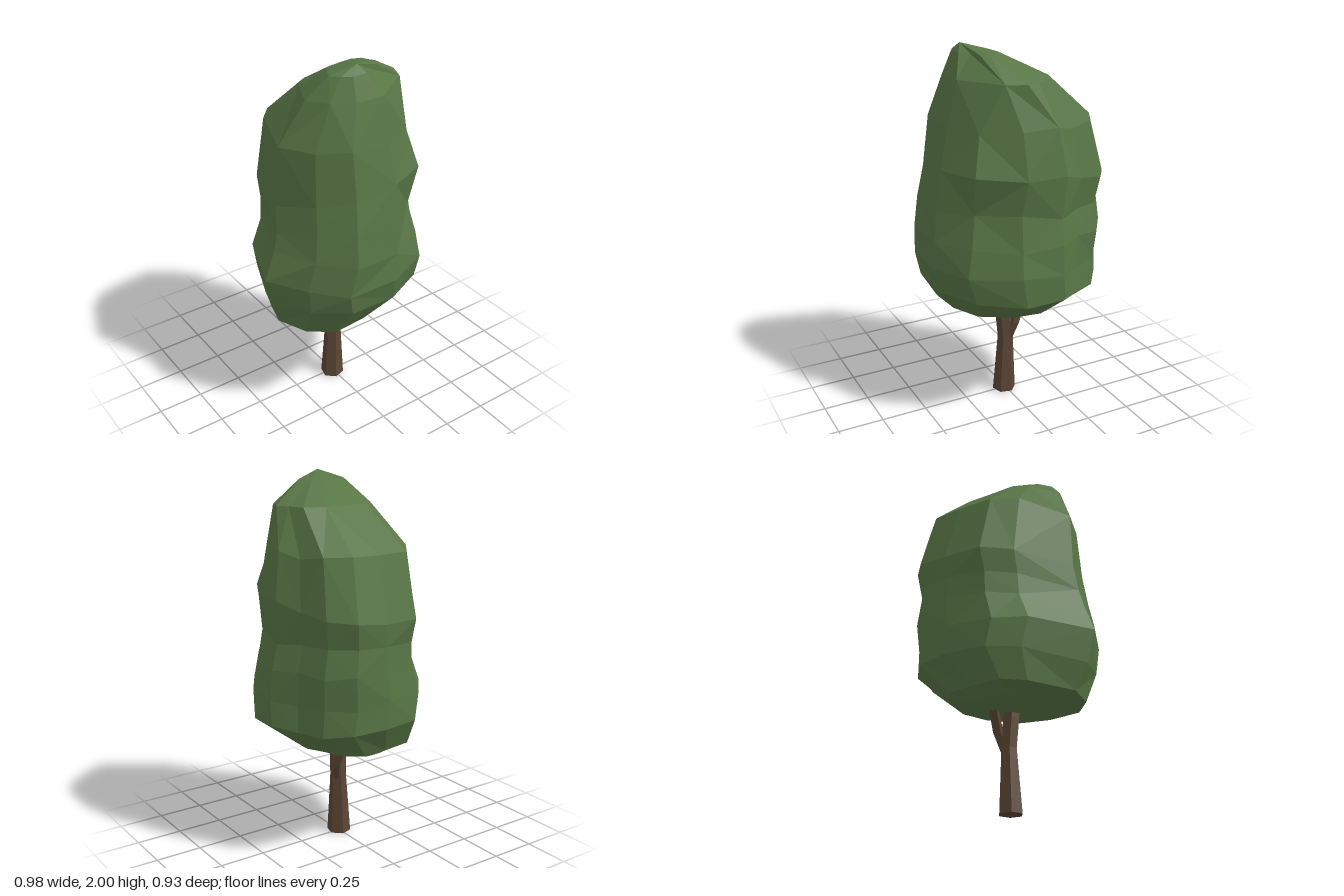
import * as THREE from 'three';

const leafGreen = new THREE.MeshStandardMaterial({ color: 0x587646, flatShading: true });
leafGreen.name = 'leafGreen';
const barkBrown = new THREE.MeshStandardMaterial({ color: 0x5c4635, flatShading: true });
barkBrown.name = 'barkBrown';

// Small seeded generator, -1 to 1
function makeNoise(seed) {
  return () => {
    seed = (seed * 16807) % 2147483647;
    return (seed / 2147483647) * 2 - 1;
  };
}

// Skins rings of equal point count, bottom to top; points run clockwise seen from above
function skin(rings, bottom, top) {
  const n = rings[0].length;
  const pos = [];
  const tri = (...pts) => pts.forEach((p) => pos.push(p.x, p.y, p.z));
  for (let i = 0; i < n; i++) {
    const j = (i + 1) % n;
    tri(bottom, rings[0][i], rings[0][j]);
    for (let r = 0; r < rings.length - 1; r++) {
      const [a, b, c, d] = [rings[r][i], rings[r][j], rings[r + 1][j], rings[r + 1][i]];
      if ((i + r) % 2) { tri(a, d, b); tri(b, d, c); } else { tri(a, d, c); tri(a, c, b); }
    }
    const last = rings[rings.length - 1];
    tri(last[i], top, last[j]);
  }
  const geo = new THREE.BufferGeometry();
  geo.setAttribute('position', new THREE.Float32BufferAttribute(pos, 3));
  geo.computeVertexNormals();
  return geo;
}

// Irregular plan of the crown, seen from above (x, z)
const plan = [
  [-0.24, -0.39], [0, -0.46], [0.21, -0.465], [0.355, -0.37], [0.42, -0.22], [0.5, -0.09],
  [0.47, 0.13], [0.32, 0.36], [0.08, 0.465], [-0.2, 0.46], [-0.37, 0.32], [-0.5, 0.11], [-0.36, -0.25],
];

// Crown levels: y, rise towards +x+z, x min, x max, z min, z max,
// then the swell of each corner: +x+z, -x+z, -x-z, +x-z
const levels = [
  [0.53, 0, -0.24, 0.10, -0.27, 0.18, 1, 1.1, 1.1, 1],
  [0.57, 0, -0.39, 0.26, -0.34, 0.31, 1, 1.1, 1.12, 1.03],
  [0.73, 0, -0.45, 0.49, -0.45, 0.425, 0.99, 1.05, 1.07, 0.95],
  [0.87, 0, -0.50, 0.485, -0.455, 0.465, 1.02, 0.97, 1, 0.96],
  [1.03, 0, -0.43, 0.47, -0.455, 0.455, 0.96, 1.04, 0.98, 1],
  [1.17, 0.02, -0.41, 0.44, -0.45, 0.44, 0.9, 1.03, 1.02, 0.99],
  [1.34, 0.05, -0.395, 0.455, -0.46, 0.41, 1.03, 1.02, 1.1, 1.01],
  [1.62, 0, -0.375, 0.41, -0.375, 0.37, 0.96, 1.02, 1.07, 1.05],
  [1.84, 0, -0.26, 0.335, -0.12, 0.315, 0.8, 1.02, 1.05, 1.18],
  [1.955, 0, -0.16, 0.14, 0.08, 0.27, 0.6, 1, 1.05, 1.1],
];

function crownGeometry() {
  const noise = makeNoise(71);
  const rings = levels.map(([y, rise, x0, x1, z0, z1, ...swell], r) => plan.map(([px, pz]) => {
    const u = px / 0.5, v = pz / 0.465;
    const corner = v > 0 ? (u > 0 ? 0 : 1) : (u > 0 ? 3 : 2);
    const weight = Math.min(1, 4 * u * u * v * v);
    const inner = r > 1 && r < 8;
    const k = 1 + (swell[corner] - 1) * weight + (inner ? noise() * 0.008 : 0);
    return new THREE.Vector3(
      (x0 + x1) / 2 + u * k * (x1 - x0) / 2,
      y + rise * (u + v) + (inner ? noise() * 0.02 : 0),
      (z0 + z1) / 2 + v * k * (z1 - z0) / 2,
    );
  }));
  return skin(rings, new THREE.Vector3(-0.05, 0.525, -0.03), new THREE.Vector3(-0.03, 2, 0.24));
}

// Many-sided limb through stations of [x, y, z, radius]
function limbGeometry(stations, sides) {
  const rings = stations.map(([x, y, z, radius]) => Array.from({ length: sides }, (_, i) => {
    const a = (i / sides) * Math.PI * 2 - 0.3;
    return new THREE.Vector3(x + Math.cos(a) * radius, y, z + Math.sin(a) * radius);
  }));
  const [bottom, top] = [stations[0], stations[stations.length - 1]]
    .map(([x, y, z]) => new THREE.Vector3(x, y, z));
  return skin(rings, bottom, top);
}

export function createModel() {
  const model = new THREE.Group();
  model.name = 'tree';
  const add = (name, geometry, material) => {
    const mesh = new THREE.Mesh(geometry, material);
    mesh.name = name;
    model.add(mesh);
  };

  add('crown', crownGeometry(), leafGreen);
  // Trunk narrows to a fork, then spreads slightly into the crown
  add('trunk', limbGeometry([
    [-0.005, 0, 0.008, 0.065], [0.003, 0.34, 0.003, 0.044],
    [-0.003, 0.5, 0.012, 0.047], [-0.01, 0.62, 0.015, 0.042],
  ], 6), barkBrown);
  // Side branch leaning back and to the left
  add('branch', limbGeometry([
    [0.02, 0.31, -0.005, 0.02], [0.041, 0.43, -0.04, 0.028],
    [0.03, 0.53, -0.08, 0.028], [0.02, 0.62, -0.11, 0.022],
  ], 5), barkBrown);
  return model;
}
